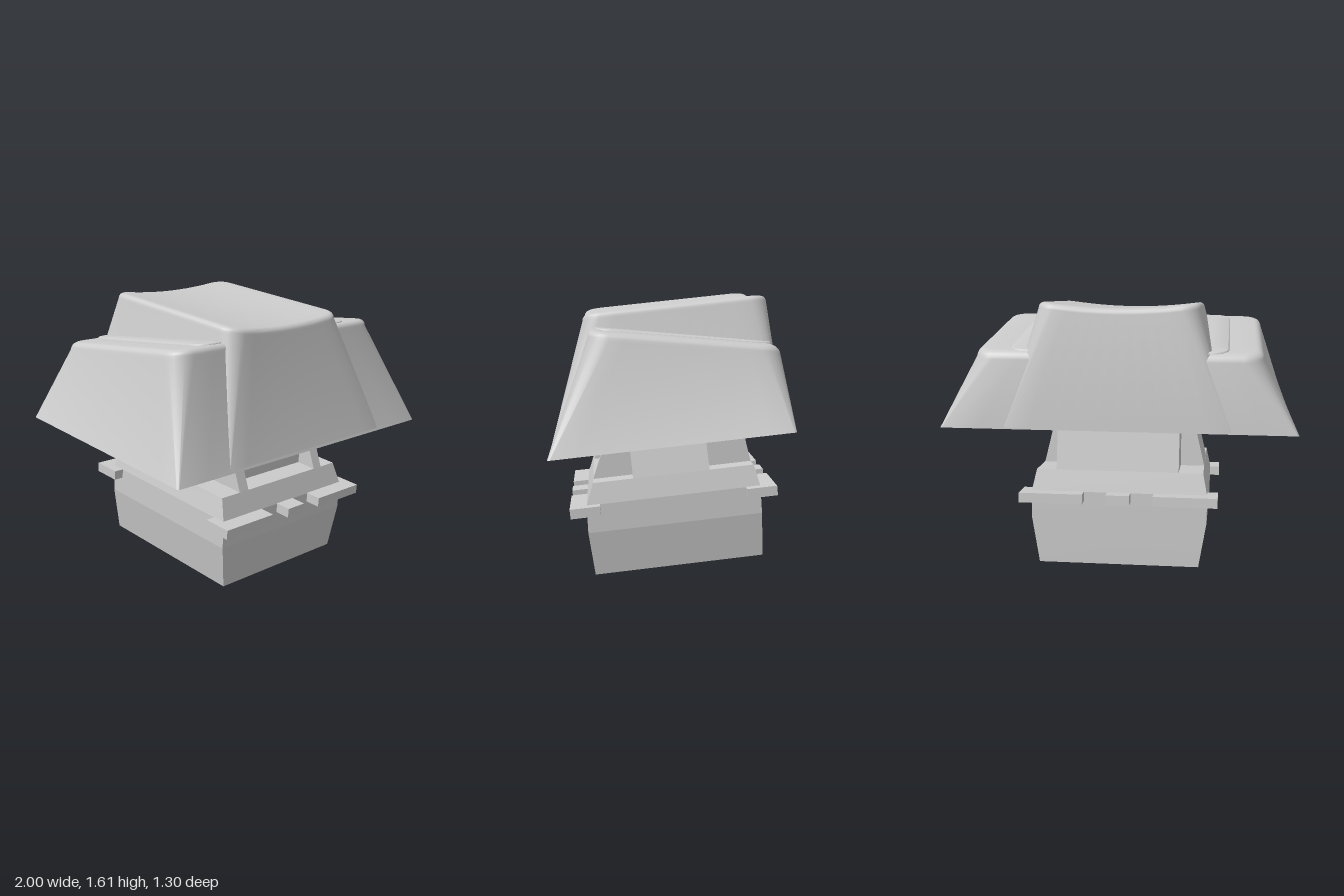
import * as THREE from 'three';
import { toCreasedNormals } from 'three/addons/utils/BufferGeometryUtils.js';

const material = new THREE.MeshStandardMaterial({ color: 0xcccccc });

// Skin a stack of equal-length rings (counter-clockwise from above), with flat end caps
function loft(rings, crease) {
  const n = rings[0].length, pos = rings.flat().flatMap(p => [p.x, p.y, p.z]), index = [];
  for (let k = 0; k < rings.length - 1; k++) {
    for (let i = 0; i < n; i++) {
      const a = k * n + i, b = k * n + (i + 1) % n;
      index.push(a, b, b + n, a, b + n, a + n);
    }
  }
  const cap = (k, up) => {
    const outline = rings[k].map(p => new THREE.Vector2(p.x, -p.z));
    for (const [a, b, c] of THREE.ShapeUtils.triangulateShape(outline, [])) {
      const o = k * n;
      index.push(o + a, o + (up ? b : c), o + (up ? c : b));
    }
  };
  cap(0, false);
  cap(rings.length - 1, true);
  const g = new THREE.BufferGeometry();
  g.setAttribute('position', new THREE.Float32BufferAttribute(pos, 3));
  g.setIndex(index);
  return toCreasedNormals(g, crease);
}

// Rounded rectangle ring; height is a function of x and z
function roundRing(hx, zf, zb, r, height) {
  const corners = [[hx - r, zf - r], [hx - r, zb + r], [r - hx, zb + r], [r - hx, zf - r]];
  const arc = 6, edge = 10, pts = [];
  corners.forEach(([cx, cz], c) => {
    for (let i = 0; i <= arc; i++) {
      const a = (c - 1 + i / arc) * Math.PI / 2;
      pts.push(new THREE.Vector3(cx + r * Math.cos(a), 0, cz - r * Math.sin(a)));
    }
  });
  const out = [];
  pts.forEach((p, i) => {
    out.push(p);
    if (i % (arc + 1) === arc) {
      const q = pts[(i + 1) % pts.length];
      for (let j = 1; j < edge; j++) out.push(p.clone().lerp(q, j / edge));
    }
  });
  out.forEach(p => { p.y = height(p.x, p.z); });
  return out;
}

// Tapered block with a filleted top edge of radius f and a subdivided top surface
function filletedBlock(base, top, f, height) {
  const rings = [];
  if (base) rings.push(roundRing(base.hx, base.zf, base.zb, base.r, () => base.y));
  const steps = 5;
  let inset = 0;
  for (let i = 0; i <= steps; i++) {
    const a = i / steps * Math.PI / 2;
    inset = f * (1 - Math.cos(a));
    const drop = f * (1 - Math.sin(a));
    rings.push(roundRing(top.hx - inset, top.zf - inset, top.zb + inset, top.r - inset * 0.7,
      (x, z) => height(x, z) - drop));
  }
  const cz = (top.zf + top.zb) / 2, edge = rings[rings.length - 1];
  for (const s of [0.85, 0.65, 0.45, 0.25, 0.05]) {
    rings.push(edge.map(p => {
      const x = p.x * s, z = cz + (p.z - cz) * s;
      return new THREE.Vector3(x, height(x, z), z);
    }));
  }
  return loft(rings, 0.5);
}

const rectRing = (hx, zf, zb, y) =>
  [[-hx, zf], [hx, zf], [hx, zb], [-hx, zb]].map(([x, z]) => new THREE.Vector3(x, y, z));

export function createModel() {
  const model = new THREE.Group();
  model.name = 'steppedKeycapOnSwitch';
  const add = (name, geometry, parent = model) => {
    const mesh = new THREE.Mesh(geometry, material);
    mesh.name = name;
    parent.add(mesh);
    return mesh;
  };

  // Keycap: wide body with sloping shoulders, and a taller dished centre
  const cap = new THREE.Group();
  cap.name = 'keycap';
  model.add(cap);
  const shoulder = (x, z) => 1.476 + 0.19 * (z - 0.267);
  const dish = x => 1.56 - 0.032 * (1 - Math.min(1, (x / 0.43) ** 2));
  add('capShoulders', filletedBlock(
    { hx: 1, zf: 0.563, zb: -0.743, r: 0.015, y: 0.85 },
    { hx: 0.805, zf: 0.29, zb: -0.741, r: 0.11 }, 0.045, shoulder), cap);
  add('shoulderPad', filletedBlock(null,
    { hx: 0.61, zf: 0.25, zb: -0.725, r: 0.09 }, 0.01, (x, z) => shoulder(x, z) + 0.008), cap);
  add('capCentre', filletedBlock(
    { hx: 0.64, zf: 0.558, zb: -0.745, r: 0.015, y: 0.86 },
    { hx: 0.452, zf: 0.315, zb: -0.745, r: 0.1 }, 0.035, dish), cap);

  // Switch housing: tapered lower shell and sloping collar
  const housing = new THREE.Group();
  housing.name = 'switchHousing';
  model.add(housing);
  add('lowerHousing', loft([
    rectRing(0.462, 0.407, -0.578, 0.05),
    rectRing(0.505, 0.419, -0.591, 0.313),
    rectRing(0.505, 0.41, -0.596, 0.475),
    rectRing(0.48, 0.36, -0.571, 0.597),
  ], 0.02), housing);

  // Upper housing: four notched corners and a recess in the front
  const notched = (hx, zf, zb, y) => [
    [-0.34, zf], [-0.27, zf], [-0.27, 0.23], [0.3, 0.23], [0.3, zf], [0.365, zf],
    [0.365, 0.128], [hx, 0.128], [hx, -0.315], [0.365, -0.315], [0.365, zb],
    [-0.34, zb], [-0.34, -0.315], [-hx, -0.315], [-hx, 0.128], [-0.34, 0.128],
  ].map(([x, z]) => new THREE.Vector3(x, y, z));
  add('upperHousing', loft([
    notched(0.48, 0.36, -0.571, 0.595),
    notched(0.42, 0.248, -0.535, 0.845),
    notched(0.415, 0.24, -0.51, 0.87),
  ], 0.02), housing);

  // Retaining tabs along front and back
  for (const [side, z] of [['front', 0.42], ['back', -0.597]]) {
    for (const [part, x, w] of [['LeftTab', 0.383, 0.365], ['MiddleTab', 0, 0.135], ['RightTab', -0.383, 0.365]]) {
      add(side + part, new THREE.BoxGeometry(w, 0.056, 0.172), housing).position.set(x, 0.449, z);
    }
  }

  // The whole assembly leans toward the front
  model.rotation.x = 0.105;
  model.position.y = -0.007;
  const root = new THREE.Group();
  root.name = 'keySwitch';
  root.add(model);
  return root;
}
